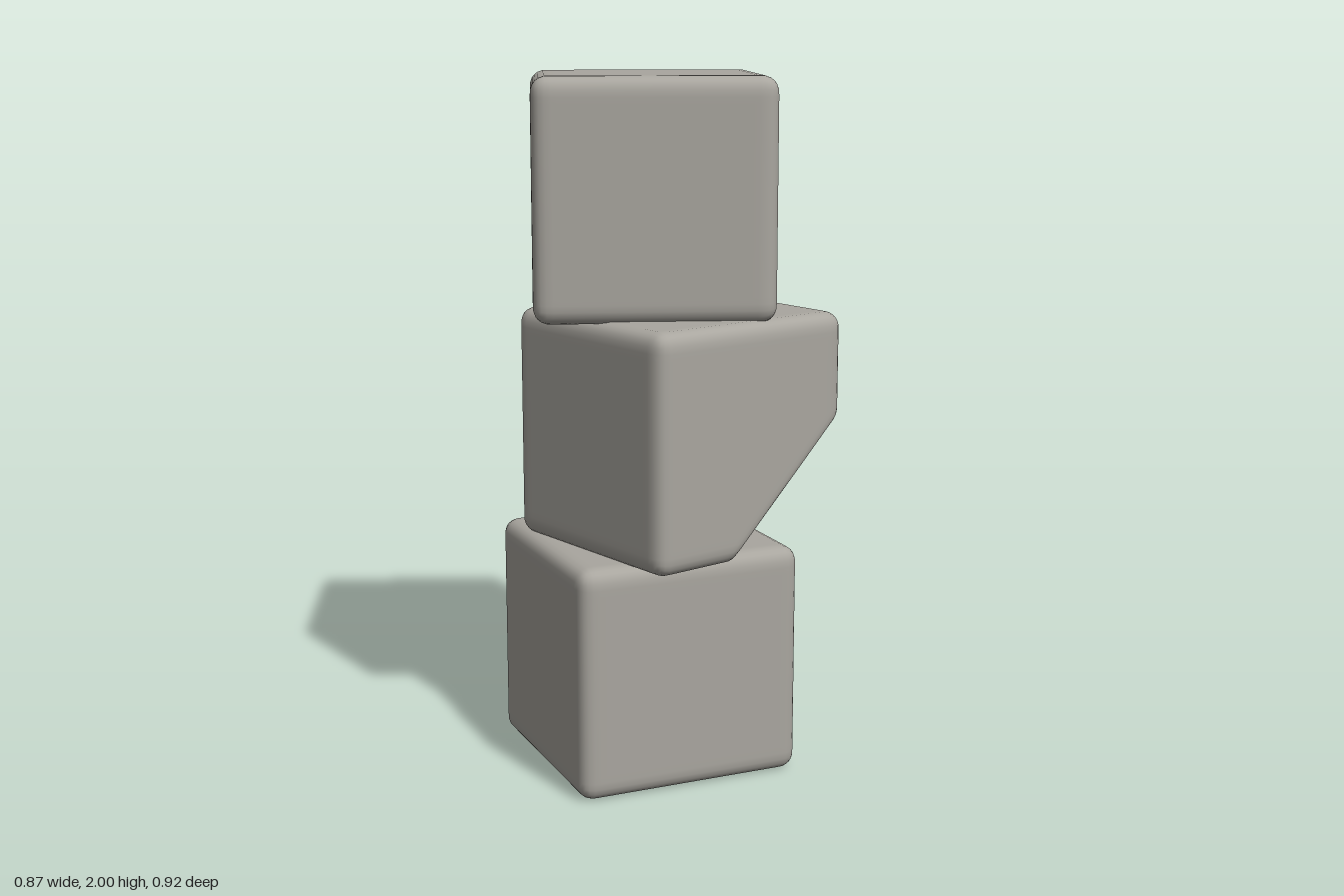
import * as THREE from 'three';
import { mergeVertices } from 'three/addons/utils/BufferGeometryUtils.js';

const H = 0.336; // half size of a block
const R = 0.045; // edge rounding

// Rounded cube; an optional chip flattens one lower corner on the +x side.
// chip: { side: sign of z, cut: lengths removed along x, y and z }
function blockGeometry(chip) {
  let g = new THREE.BoxGeometry(2 * H, 2 * H, 2 * H, 36, 36, 36);
  g.deleteAttribute('uv');
  g.deleteAttribute('normal');
  g = mergeVertices(g, 1e-5);

  const plane = new THREE.Plane();
  if (chip) {
    const [a, b, c] = chip.cut;
    const n = new THREE.Vector3(1 / a, -1 / b, chip.side / c).normalize();
    plane.setFromNormalAndCoplanarPoint(n, new THREE.Vector3(H - a, -H, chip.side * H));
  }

  const pos = g.attributes.position;
  const p = new THREE.Vector3();
  const inner = new THREE.Vector3();
  const lo = new THREE.Vector3().setScalar(R - H);
  const hi = new THREE.Vector3().setScalar(H - R);
  const soft = 0.012;
  for (let i = 0; i < pos.count; i++) {
    p.fromBufferAttribute(pos, i);
    inner.copy(p).clamp(lo, hi);
    p.sub(inner).setLength(R).add(inner);
    if (chip) {
      // press the corner onto the plane with a softened rim
      const d = plane.distanceToPoint(p);
      const push = d > soft ? d : d > -soft ? (d + soft) ** 2 / (4 * soft) : 0;
      p.addScaledVector(plane.normal, -push);
    }
    pos.setXYZ(i, p.x, p.y, p.z);
  }
  g.computeVertexNormals();
  return g;
}

export function createModel() {
  const group = new THREE.Group();
  group.name = 'stoneStack';
  const stone = new THREE.MeshStandardMaterial({ color: 0xa9a69f });
  stone.name = 'warm grey stone';

  const blocks = [
    { name: 'bottomBlock', at: [-0.067, 0.336, -0.01], turn: 0.1 },
    { name: 'middleBlock', at: [0.016, 1.001, 0.04], turn: 0.364, chip: { side: 1, cut: [0.43, 0.4, 0.38] } },
    { name: 'topBlock', at: [-0.04, 1.664, -0.065], turn: -0.244, chip: { side: -1, cut: [0.41, 0.4, 0.44] } },
  ];
  for (const { name, at, turn, chip } of blocks) {
    const mesh = new THREE.Mesh(blockGeometry(chip), stone);
    mesh.name = name;
    mesh.position.set(...at);
    mesh.rotation.y = turn;
    group.add(mesh);
  }
  return group;
}
